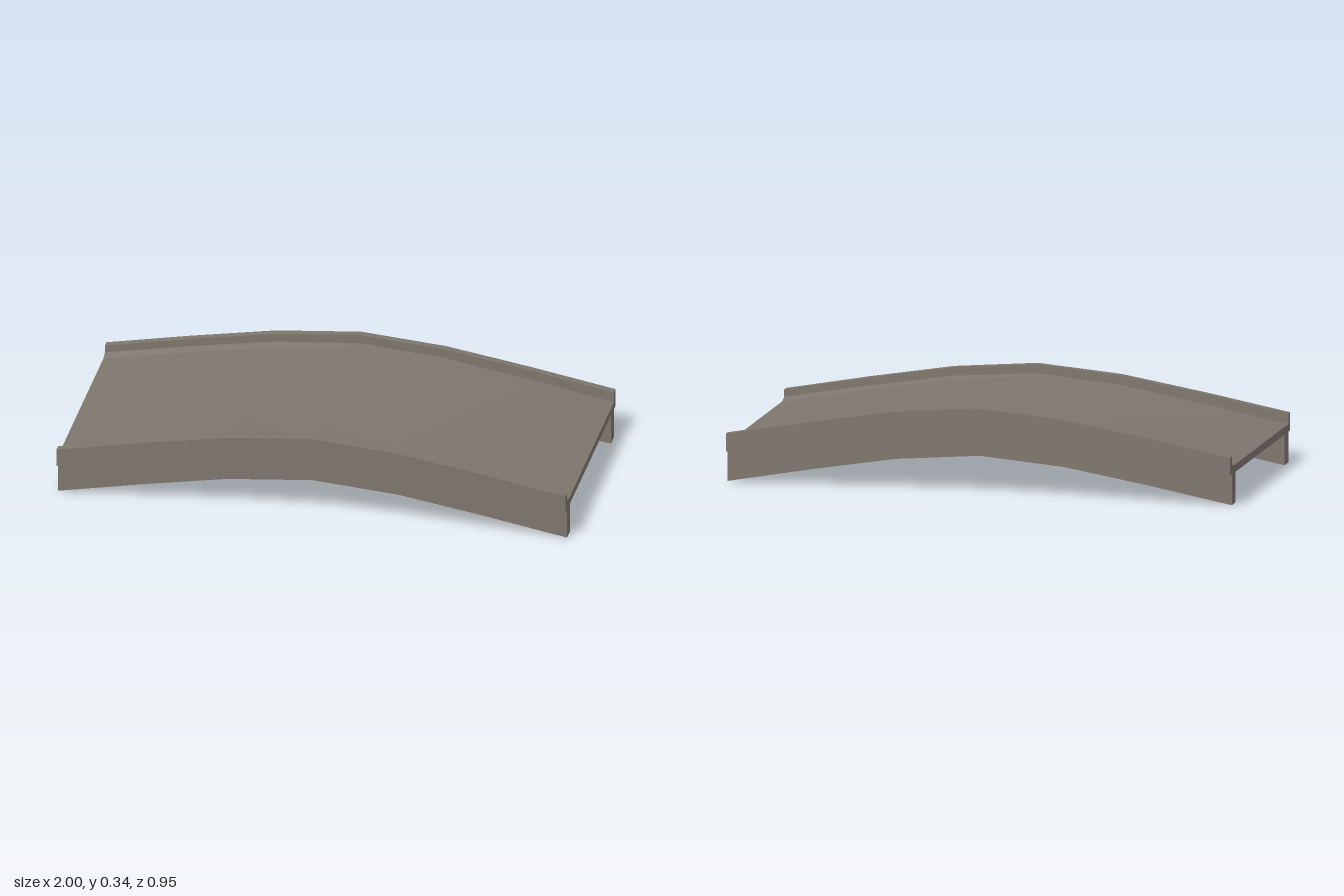
import * as THREE from 'three';
import { toCreasedNormals } from 'three/addons/utils/BufferGeometryUtils.js';

// Rise of the arch at evenly spaced stations from one end to the other
const RISE = [0, 0.062, 0.118, 0.146, 0.118, 0.062, 0];
const LAST = RISE.length - 1;

// Sweeps a cross-section of [z, y] corners along the arch.
// Corners run bottom +z, bottom -z, then over the top back to +z.
function sweep(section) {
  const rings = RISE.map((rise, i) => {
    const x = -1 + (2 * i) / LAST;
    return section(x).map(([z, y]) => [x, y + rise, z]);
  });
  const pos = [];
  const tri = (a, b, c) => pos.push(...a, ...b, ...c);
  for (let i = 0; i < LAST; i++) {
    const p = rings[i], q = rings[i + 1];
    for (let j = 0; j < p.length; j++) {
      const k = (j + 1) % p.length;
      tri(p[j], p[k], q[k]);
      tri(p[j], q[k], q[j]);
    }
  }
  // end caps
  for (const [ring, flip] of [[rings[0], true], [rings[LAST], false]]) {
    const outline = ring.map(([, y, z]) => new THREE.Vector2(-z, y));
    for (const [a, b, c] of THREE.ShapeUtils.triangulateShape(outline, [])) {
      if (flip) tri(ring[a], ring[c], ring[b]);
      else tri(ring[a], ring[b], ring[c]);
    }
  }
  const geo = new THREE.BufferGeometry();
  geo.setAttribute('position', new THREE.Float32BufferAttribute(pos, 3));
  return toCreasedNormals(geo, THREE.MathUtils.degToRad(12));
}

const bar = (z0, z1, y0, y1) => sweep(() => [[z1, y0], [z0, y0], [z0, y1], [z1, y1]]);

export function createModel() {
  const group = new THREE.Group();
  group.name = 'archedBridge';
  const stone = new THREE.MeshStandardMaterial({ color: 0x7d766d });
  stone.name = 'greyStone';

  const add = (name, geometry) => {
    const mesh = new THREE.Mesh(geometry, stone);
    mesh.name = name;
    group.add(mesh);
  };

  // Deck slab, its two edge strips tapering away towards opposite ends
  add('deck', sweep((x) => {
    const front = 0.006 * (1 + x), back = 0.006 * (1 - x);
    return [
      [0.445, 0.122], [-0.445, 0.122],
      [-0.445, 0.152 + back], [-0.415, 0.152],
      [0.415, 0.152], [0.445, 0.152 + front],
    ];
  }));

  // Kerbs along the deck edges and girders below
  add('frontKerb', bar(0.445, 0.475, 0.122, 0.193));
  add('backKerb', bar(-0.475, -0.445, 0.122, 0.193));
  add('frontGirder', bar(0.385, 0.445, 0.002, 0.122));
  add('backGirder', bar(-0.445, -0.385, 0.002, 0.122));

  return group;
}
